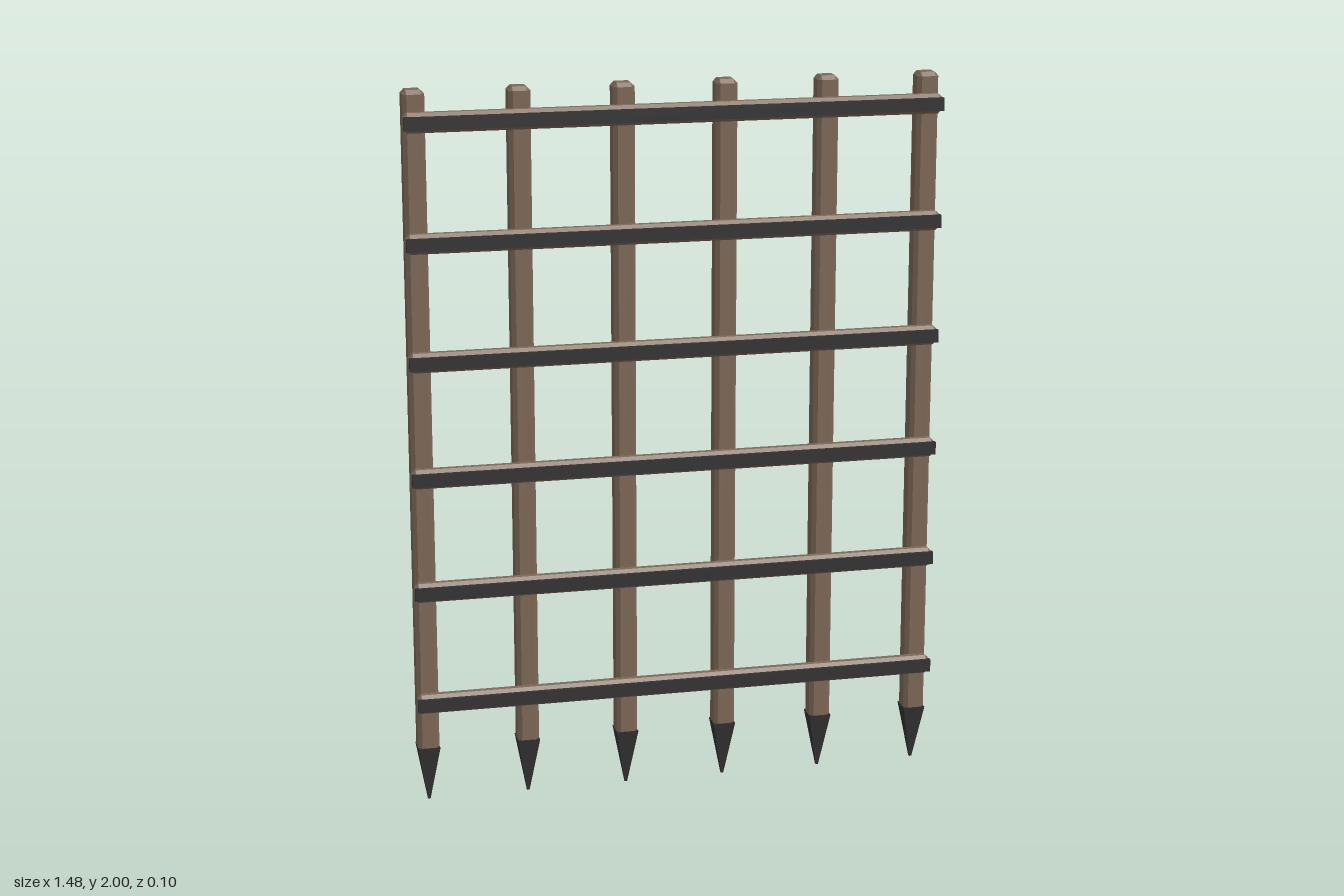
import * as THREE from 'three';
import { ConvexGeometry } from 'three/addons/geometries/ConvexGeometry.js';

const wood = new THREE.MeshStandardMaterial({ color: 0x7d6857, flatShading: true });
const iron = new THREE.MeshStandardMaterial({ color: 0x333333, flatShading: true });

// Box whose edges are all cut by a flat chamfer c
function chamferBox(w, h, d, c) {
  const half = [w / 2, h / 2, d / 2];
  const points = [];
  for (const sx of [-1, 1]) for (const sy of [-1, 1]) for (const sz of [-1, 1]) {
    for (let axis = 0; axis < 3; axis++) {
      const [x, y, z] = half.map((v, i) => (i === axis ? v : v - c));
      points.push(new THREE.Vector3(sx * x, sy * y, sz * z));
    }
  }
  return new ConvexGeometry(points);
}

export function createModel() {
  const group = new THREE.Group();
  const add = (name, geometry, material, x, y, z) => {
    const mesh = new THREE.Mesh(geometry, material);
    mesh.name = name;
    mesh.position.set(x, y, z);
    group.add(mesh);
  };

  // Upright posts, each shod with a square iron spike
  const post = chamferBox(0.06, 1.85, 0.06, 0.011);
  const spike = new THREE.CylinderGeometry(0.031 * Math.SQRT2, 0.005, 0.16, 4);
  spike.rotateY(Math.PI / 4);
  for (let i = 0; i < 6; i++) {
    const x = (i - 2.5) * 0.282;
    add('post', post, wood, x, 1.075, -0.019);
    add('spike', spike, iron, x, 0.08, -0.019);
  }

  // Crossbars on the front, each faced with an iron strip
  const bar = chamferBox(1.476, 0.054, 0.038, 0.011);
  const strip = new THREE.BoxGeometry(1.476, 0.036, 0.012);
  for (let i = 0; i < 6; i++) {
    const y = 0.3 + i * 0.3235;
    add('crossbar', bar, wood, 0, y, 0.024);
    add('ironStrip', strip, iron, 0, y, 0.044);
  }
  return group;
}
